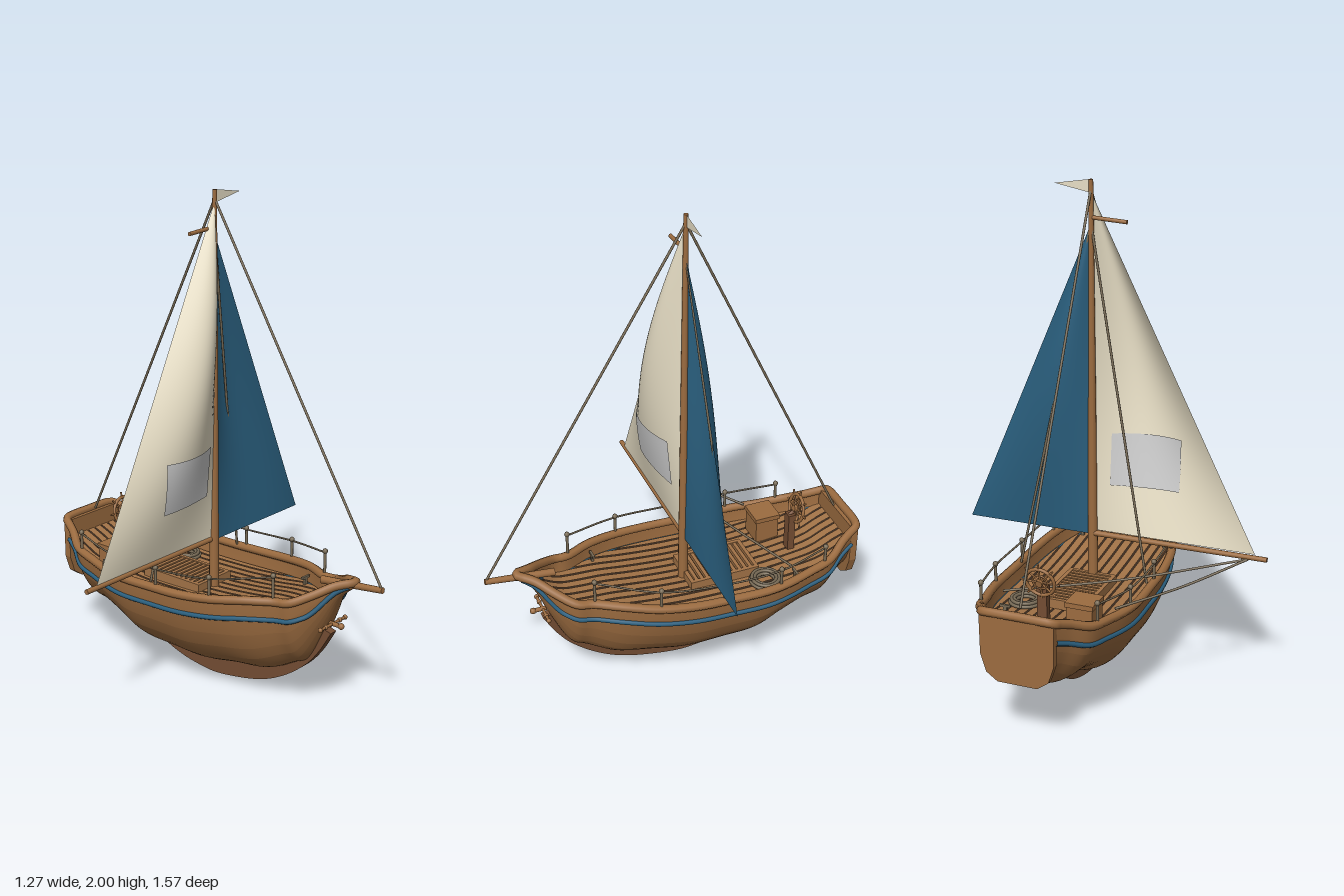
import * as THREE from 'three';
import { mergeGeometries } from 'three/addons/utils/BufferGeometryUtils.js';

const mat = (color) => new THREE.MeshStandardMaterial({ color, side: THREE.DoubleSide });
const wood = mat(0x9c6c40), plankWood = mat(0xa27347), darkWood = mat(0x744d33), shadow = mat(0x3a2a1e);
const rope = mat(0x776a55), blue = mat(0x2a5f7e), cream = mat(0xe8dfc6), grey = mat(0xcccccc);
const V = (x, y, z) => new THREE.Vector3(x, y, z);
const MAST_Z = -0.047;

// Hull stations from bow to stern: z, half width, sheer height, bottom height
const STATIONS = [
  [0.65, 0.01, 0.58, 0.56], [0.59, 0.045, 0.56, 0.5], [0.53, 0.1, 0.525, 0.36], [0.46, 0.152, 0.49, 0.22],
  [0.39, 0.165, 0.48, 0.175], [0.28, 0.22, 0.473, 0.12], [0.15, 0.262, 0.455, 0.105], [0, 0.282, 0.44, 0.08],
  [-0.15, 0.285, 0.433, 0.083], [-0.29, 0.287, 0.43, 0.092], [-0.39, 0.278, 0.435, 0.145], [-0.5, 0.253, 0.445, 0.18],
  [-0.6, 0.228, 0.46, 0.188], [-0.68, 0.178, 0.495, 0.235], [-0.75, 0.146, 0.522, 0.268],
];

// Smooth interpolation between stations, t from 0 (bow) to 1 (stern)
function station(t) {
  const n = STATIONS.length - 1, i = Math.min(Math.floor(t * n), n - 1), f = t * n - i;
  const at = (k) => STATIONS[Math.max(0, Math.min(n, k))];
  const [z, hw, top, bot] = [0, 1, 2, 3].map((c) => {
    const a = at(i - 1)[c], b = at(i)[c], d = at(i + 1)[c], e = at(i + 2)[c];
    return b + 0.5 * f * (d - a + f * (2 * a - 5 * b + 4 * d - e + f * (3 * (b - d) + e - a)));
  });
  return { z, hw, top, bot };
}

// Station at a given z
function stationAt(z) {
  let lo = 0, hi = 1;
  for (let i = 0; i < 30; i++) {
    const mid = (lo + hi) / 2;
    if (station(mid).z > z) lo = mid; else hi = mid;
  }
  return station(lo);
}

// Surface from a rule (u, v) -> point
function surface(fn, nu, nv) {
  const g = new THREE.PlaneGeometry(1, 1, nu, nv), p = g.attributes.position, uv = g.attributes.uv;
  for (let i = 0; i < p.count; i++) {
    const q = fn(uv.getX(i), uv.getY(i));
    p.setXYZ(i, q.x, q.y, q.z);
  }
  g.computeVertexNormals();
  return g;
}

// Straight round bar between two points
function bar(a, b, r0, r1 = r0) {
  const d = b.clone().sub(a), g = new THREE.CylinderGeometry(r1, r0, d.length(), 12);
  g.applyQuaternion(new THREE.Quaternion().setFromUnitVectors(V(0, 1, 0), d.clone().normalize()));
  const m = a.clone().add(b).multiplyScalar(0.5);
  return g.translate(m.x, m.y, m.z);
}
const tube = (pts, r, seg = 40, closed = false) =>
  new THREE.TubeGeometry(new THREE.CatmullRomCurve3(pts, closed), seg, r, 8, closed);
const box = (w, h, d, x, y, z) => new THREE.BoxGeometry(w, h, d).translate(x, y, z);
const ball = (r, p) => new THREE.SphereGeometry(r, 10, 8).translate(p.x, p.y, p.z);

export function createModel() {
  const model = new THREE.Group();
  const boat = new THREE.Group();
  boat.name = 'sailingBoat';
  boat.position.x = 0.09;
  model.add(boat);
  const add = (name, material, ...geos) => {
    const mesh = new THREE.Mesh(geos.length > 1 ? mergeGeometries(geos) : geos[0], material);
    mesh.name = name;
    boat.add(mesh);
    return mesh;
  };
  const range = (n, fn) => Array.from({ length: n }, (_, i) => fn(i));

  // Hull: lengthwise planks with crisp seams
  const PLANKS = 14;
  add('hull', wood, ...range(PLANKS, (k) => surface((u, v) => {
    const s = station(v), a = Math.PI * (k + u) / PLANKS;
    return V(s.hw * Math.cos(a), s.top - (s.top - s.bot) * Math.sin(a), s.z);
  }, 2, 70)));

  // Keel: crescent below the hull
  const keelShape = new THREE.Shape().moveTo(0.56, 0.35);
  keelShape.splineThru([[0.5, 0.25], [0.43, 0.17], [0.32, 0.09], [0.19, 0.035], [0, 0], [-0.12, 0.005], [-0.23, 0.028],
    [-0.34, 0.075], [-0.45, 0.16]].map((p) => new THREE.Vector2(...p)));
  [[-0.3, 0.14], [0, 0.12], [0.3, 0.17], [0.45, 0.26], [0.52, 0.36]].forEach((p) => keelShape.lineTo(...p));
  add('keel', darkWood, new THREE.ExtrudeGeometry(keelShape, { depth: 0.036, bevelEnabled: false, curveSegments: 30 })
    .rotateY(-Math.PI / 2).translate(0.018, 0, 0));

  // Transom panel
  const panel = new THREE.Shape();
  [[-0.15, 0.53], [-0.148, 0.36], [-0.125, 0.29], [-0.08, 0.258], [0.08, 0.258], [0.125, 0.29], [0.148, 0.36], [0.15, 0.53]]
    .forEach((p, i) => (i ? panel.lineTo(...p) : panel.moveTo(...p)));
  add('transom', wood, new THREE.ExtrudeGeometry(panel, { depth: 0.03, bevelEnabled: false }).translate(0, 0, -0.765));

  // Cap rail around the sheer, and the painted stripe on each side
  const sheer = range(43, (i) => station(i / 42));
  const side = (s) => sheer.map((q) => V(s * q.hw, q.top + 0.005, q.z));
  add('capRail', wood, tube([...side(1), V(0.13, 0.533, -0.762), V(0, 0.536, -0.766), V(-0.13, 0.533, -0.762),
    ...side(-1).reverse()], 0.018, 240, true));
  const stripe = (s) => tube(range(41, (i) => {
    const q = station(0.02 + 0.965 * i / 40), h = q.top - q.bot, drop = Math.min(0.075, 0.4 * h);
    return V(s * (q.hw * Math.sqrt(1 - (drop / h) ** 2) + 0.002), q.top - drop, q.z);
  }), 0.01, 100);
  add('hullStripe', blue, stripe(1), stripe(-1));

  // Deck: dark base with planks that follow the sheer
  const deckSurface = (x0, x1, lift) => surface((u, v) => {
    const q = station(0.03 + 0.965 * v), w = q.hw * 0.95;
    const x = Math.max(-w, Math.min(w, x0 + (x1 - x0) * u));
    return V(x, q.top - Math.min(0.06, 0.35 * (q.top - q.bot)) + lift, q.z);
  }, 1, 70);
  add('deckBase', shadow, deckSurface(-0.3, 0.3, -0.006));
  add('deckPlanks', plankWood, ...range(14, (i) => deckSurface((i - 7) * 0.04 + 0.004, (i - 6) * 0.04 - 0.004, 0)));

  // Spars
  add('mast', wood, bar(V(0, 0.37, MAST_Z), V(0, 1.995, MAST_Z), 0.021, 0.009));
  add('boom', wood, bar(V(-0.725, 0.583, -0.052), V(0, 0.583, -0.052), 0.01, 0.012));
  add('topSpar', wood, bar(V(-0.145, 1.845, MAST_Z), V(0, 1.853, MAST_Z), 0.008));
  add('bowsprit', wood, bar(V(0, 0.555, 0.5), V(0, 0.587, 0.78), 0.016, 0.012));

  // Sails: triangles bellied by a sine rule
  const sail = (width, low, high, belly) => (u, v) =>
    V(width * u * (1 - v), low + (high - low) * v, MAST_Z + belly * Math.sin(Math.PI * u) * Math.sin(Math.PI * v));
  const mainRule = sail(-0.675, 0.595, 1.95, 0.1);
  add('mainSail', cream, surface((u, v) => mainRule(1 - u, v), 24, 30));
  add('foreSail', blue, surface(sail(0.54, 0.575, 1.83, -0.058), 24, 30));
  // Plain patch laid on both faces of the main sail
  add('sailPatch', grey, ...[0.006, -0.006].map((off) => surface((a, b) => {
    const x = -0.35 + 0.28 * a, v = (0.79 + 0.21 * b - 0.595) / 1.355;
    const p = mainRule(x / (-0.675 * (1 - v)), v);
    return p.setZ(p.z + off);
  }, 10, 8)));
  const pennant = new THREE.Shape().moveTo(0.005, 1.995).lineTo(0.005, 1.945).lineTo(0.148, 1.972);
  add('pennant', cream, new THREE.ShapeGeometry(pennant).translate(0, 0, MAST_Z));

  // Standing rigging and boom sheets
  const top = V(0, 1.96, MAST_Z);
  add('stays', rope, bar(top, V(0, 0.59, 0.775), 0.005), bar(top, V(0, 0.55, -0.725), 0.005),
    ...[1, -1].map((s) => bar(V(0, 1.83, MAST_Z), V(s * 0.27, 0.45, -0.15), 0.005)));
  add('sheets', rope, tube([V(-0.65, 0.575, -0.055), V(-0.45, 0.505, -0.24), V(-0.25, 0.462, -0.43)], 0.005),
    tube([V(-0.65, 0.575, -0.055), V(-0.22, 0.5, -0.25), V(0.21, 0.46, -0.44)], 0.005));

  // Guard rails: posts with ball tops and a line
  for (const s of [1, -1]) {
    const posts = [[0.39, 0.592], [0.15, 0.55], [-0.11, 0.527], [-0.355, 0.525], [-0.57, 0.545]].map(([z, y]) => {
      const q = stationAt(z);
      return [V(s * q.hw, q.top, z), V(s * q.hw, y, z)];
    });
    add(s > 0 ? 'leftGuardRail' : 'rightGuardRail', rope,
      ...posts.flatMap(([a, b]) => [bar(a, b, 0.006), ball(0.011, b)]),
      tube(posts.map(([, b]) => V(b.x, b.y - 0.006, b.z)), 0.004));
  }

  // Hatch: frame with slats
  const hatchY = 0.39;
  add('hatch', plankWood, ...[-1, 1].map((s) => box(0.016, 0.04, 0.285, s * 0.092, hatchY, -0.193)),
    ...[-0.335, -0.052].map((z) => box(0.2, 0.04, 0.016, 0, hatchY, z)),
    ...range(11, (i) => box(0.18, 0.02, 0.015, 0, hatchY + 0.008, -0.312 + i * 0.0238)));
  add('hatchWell', shadow, box(0.18, 0.02, 0.28, 0, hatchY - 0.008, -0.193));

  // Chest with lid
  add('chest', wood, box(0.105, 0.1, 0.1, -0.14, 0.43, -0.465), box(0.115, 0.02, 0.11, -0.14, 0.488, -0.465));

  // Rope coil
  add('ropeCoil', rope, ...[[0.062, 0], [0.05, 0], [0.038, 0], [0.056, 0.012], [0.044, 0.012]].map(([r, h]) =>
    new THREE.TorusGeometry(r, 0.007, 8, 28).rotateX(Math.PI / 2).translate(0.16, 0.385 + h, -0.345)));

  // Steering wheel: ring, hub and spokes, tilted back
  const wheel = add('steeringWheel', wood, new THREE.TorusGeometry(0.058, 0.007, 8, 32), new THREE.TorusGeometry(0.03, 0.004, 8, 24),
    new THREE.CylinderGeometry(0.014, 0.014, 0.03, 14).rotateX(Math.PI / 2),
    ...range(8, (i) => {
      const a = i * Math.PI / 4;
      return bar(V(0, 0, 0), V(0.08 * Math.cos(a), 0.08 * Math.sin(a), 0), 0.004);
    }));
  wheel.position.set(0, 0.58, -0.552);
  wheel.rotation.x = -0.22;
  add('wheelPedestal', darkWood, box(0.04, 0.17, 0.03, 0, 0.475, -0.525), bar(V(0, 0.555, -0.52), V(0, 0.58, -0.56), 0.008));

  // Deck cleats
  add('cleats', rope, ...[1, -1].flatMap((s) => [[0.185, 0.28], [0.19, -0.465]].flatMap(([x, z]) => {
    const y = stationAt(z).top - 0.03;
    return [box(0.045, 0.01, 0.01, s * x, y, z), box(0.014, 0.035, 0.01, s * x, y - 0.017, z)];
  })));

  // Bow fitting: cross bar with knobs on a short shank
  add('bowFitting', wood, bar(V(0, 0.385, 0.48), V(0, 0.385, 0.6), 0.009), bar(V(-0.085, 0.385, 0.555), V(0.085, 0.385, 0.555), 0.006),
    ...[-0.08, -0.045, 0.045, 0.08].map((x) => ball(0.01, V(x, 0.385, 0.555))), ball(0.013, V(0, 0.385, 0.595)));

  return model;
}
